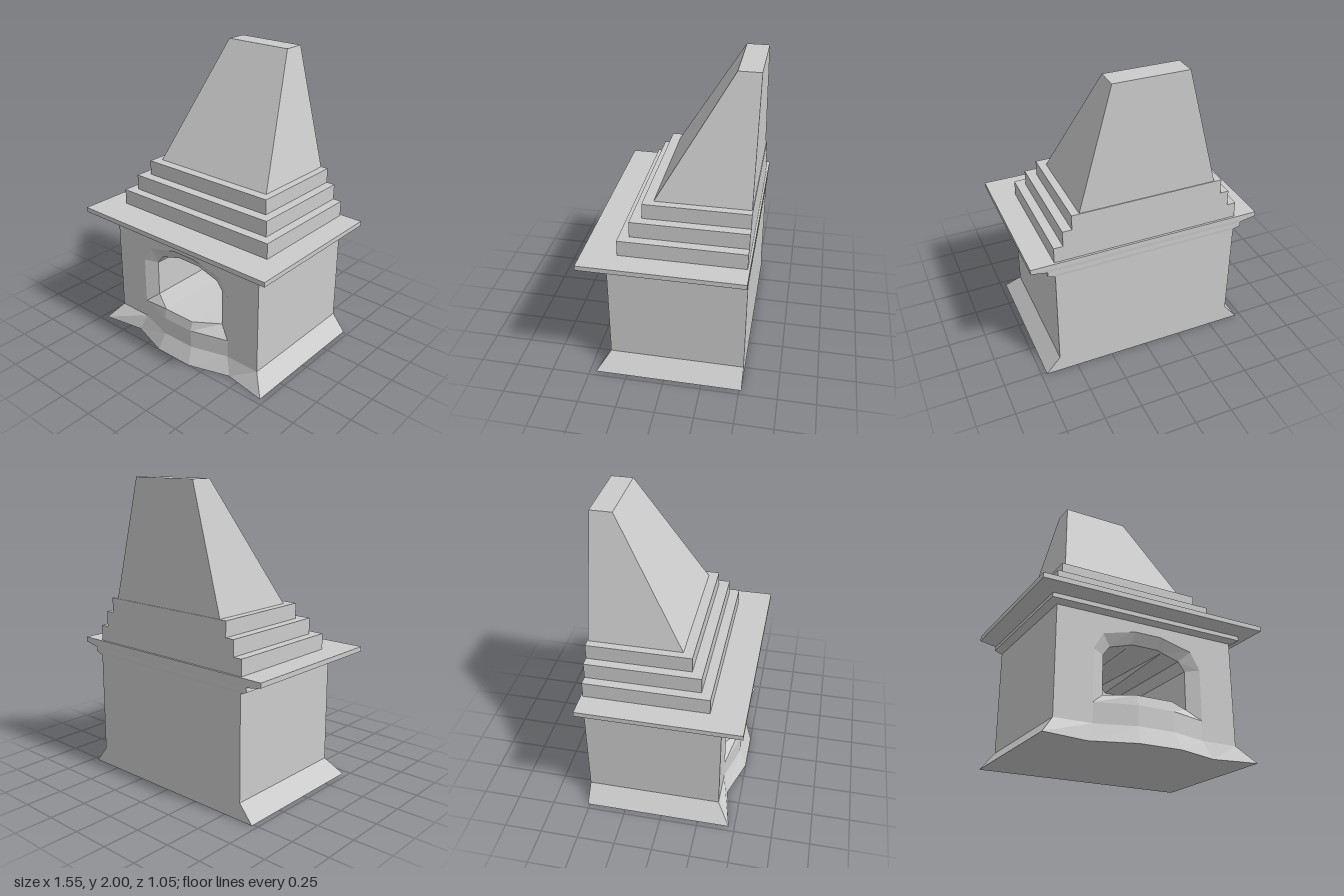
import * as THREE from 'three';

const material = new THREE.MeshStandardMaterial({ color: 0xcccccc, flatShading: true });

// Flat-shaded skin between rows of [x, y, z] points
function skin(rows, closed = true) {
  const pos = [];
  const n = rows[0].length;
  for (let r = 0; r + 1 < rows.length; r++) {
    for (let i = 0; i < (closed ? n : n - 1); i++) {
      const j = (i + 1) % n;
      const a = rows[r][i], b = rows[r][j], c = rows[r + 1][j], d = rows[r + 1][i];
      pos.push(...a, ...b, ...c, ...a, ...c, ...d);
    }
  }
  const geo = new THREE.BufferGeometry();
  geo.setAttribute('position', new THREE.Float32BufferAttribute(pos, 3));
  geo.computeVertexNormals();
  return geo;
}

// A row collapsed to its middle, which closes an end
function cap(row) {
  const mid = [0, 1, 2].map(k => row.reduce((s, p) => s + p[k], 0) / row.length);
  return row.map(() => mid);
}

// Rectangle in plan, anticlockwise from the front corner at -x
const rect = (x, front, back, y) => [[-x, y, front], [x, y, front], [x, y, back], [-x, y, back]];

// Completes a half outline by mirroring it across x
const mirror = half => [...half, ...half.slice().reverse().map(([x, y, z]) => [-x, y, z])];

export function createModel() {
  const group = new THREE.Group();
  const add = (name, geo) => {
    const mesh = new THREE.Mesh(geo, material);
    mesh.name = name;
    group.add(mesh);
  };

  // Flared plinth with a bulging front
  const foot = mirror([[-0.715, 0, -0.515], [-0.715, 0, 0.46], [-0.42, 0, 0.41], [-0.14, 0, 0.5]]);
  const plinthTop = mirror([[-0.62, 0.115, -0.515], [-0.62, 0.115, 0.375], [-0.375, 0.115, 0.375], [-0.12, 0.115, 0.45]]);
  add('plinth', skin([cap(foot), foot, plinthTop]));

  // Bowed hearth front below the opening
  const hearth = y => mirror([[-0.375, y, 0.375], [-0.12, y, 0.45]]);
  add('hearthFront', skin([hearth(0.115), hearth(0.24)], false));

  // Opening rings, from the sill up the right side and over the arch
  const ring = half => {
    const full = mirror(half);
    return [...full.slice(-1), ...full.slice(0, -1)];
  };
  const outer = ring([[0.12, 0.24, 0.45], [0.375, 0.24, 0.375], [0.375, 0.57, 0.375],
    [0.31, 0.68, 0.375], [0.13, 0.725, 0.375], [0.09, 0.735, 0.375]]);
  const inner = ring([[0.12, 0.305, 0.435], [0.29, 0.31, 0.33], [0.29, 0.56, 0.33],
    [0.245, 0.62, 0.33], [0.125, 0.655, 0.33], [0.09, 0.667, 0.33]]);
  const rear = ring([[0.12, 0.305, -0.42], [0.29, 0.31, -0.42], [0.29, 0.56, -0.42],
    [0.245, 0.62, -0.42], [0.125, 0.62, -0.42], [0.09, 0.667, -0.42]]);
  add('openingSurround', skin([outer, inner]));
  add('firebox', skin([inner, rear, cap(rear)]));

  // Front wall with the opening cut out
  const wall = new THREE.Shape([[-0.62, 0.115], [0.62, 0.115], [0.62, 0.8], [-0.62, 0.8]]
    .map(p => new THREE.Vector2(...p)));
  wall.holes.push(new THREE.Path(outer.map(([x, y]) => new THREE.Vector2(x, y))));
  add('frontWall', new THREE.ShapeGeometry(wall).translate(0, 0, 0.375));

  // Side and back walls
  const walls = y => [[0.62, y, 0.375], [0.62, y, -0.515], [-0.62, y, -0.515], [-0.62, y, 0.375]];
  add('sideAndBackWalls', skin([walls(0.115), walls(0.8)], false));

  // Stacked solids: each level is half width, front z, back z, height
  const stack = (name, levels) => {
    const rows = levels.map(l => rect(...l));
    add(name, skin([cap(rows[0]), ...rows, cap(rows[rows.length - 1])]));
  };
  stack('mantelMoulding', [[0.625, 0.38, -0.518, 0.8], [0.67, 0.42, -0.52, 0.818], [0.665, 0.42, -0.52, 0.848]]);
  stack('mantelShelf', [[0.66, 0.415, -0.52, 0.845], [0.775, 0.525, -0.522, 0.868], [0.775, 0.525, -0.522, 0.9]]);
  [[0.62, 0.3, 0.9, 1.005], [0.56, 0.235, 1.005, 1.11], [0.5, 0.165, 1.11, 1.21]].forEach(([x, z, y0, y1], i) =>
    stack('step' + (i + 1), [[x, z, -0.508, y0], [x, z, -0.508, y1]]));
  stack('chimneyHood', [[0.45, 0.1, -0.503, 1.21], [0.24, -0.36, -0.503, 2]]);

  return group;
}
